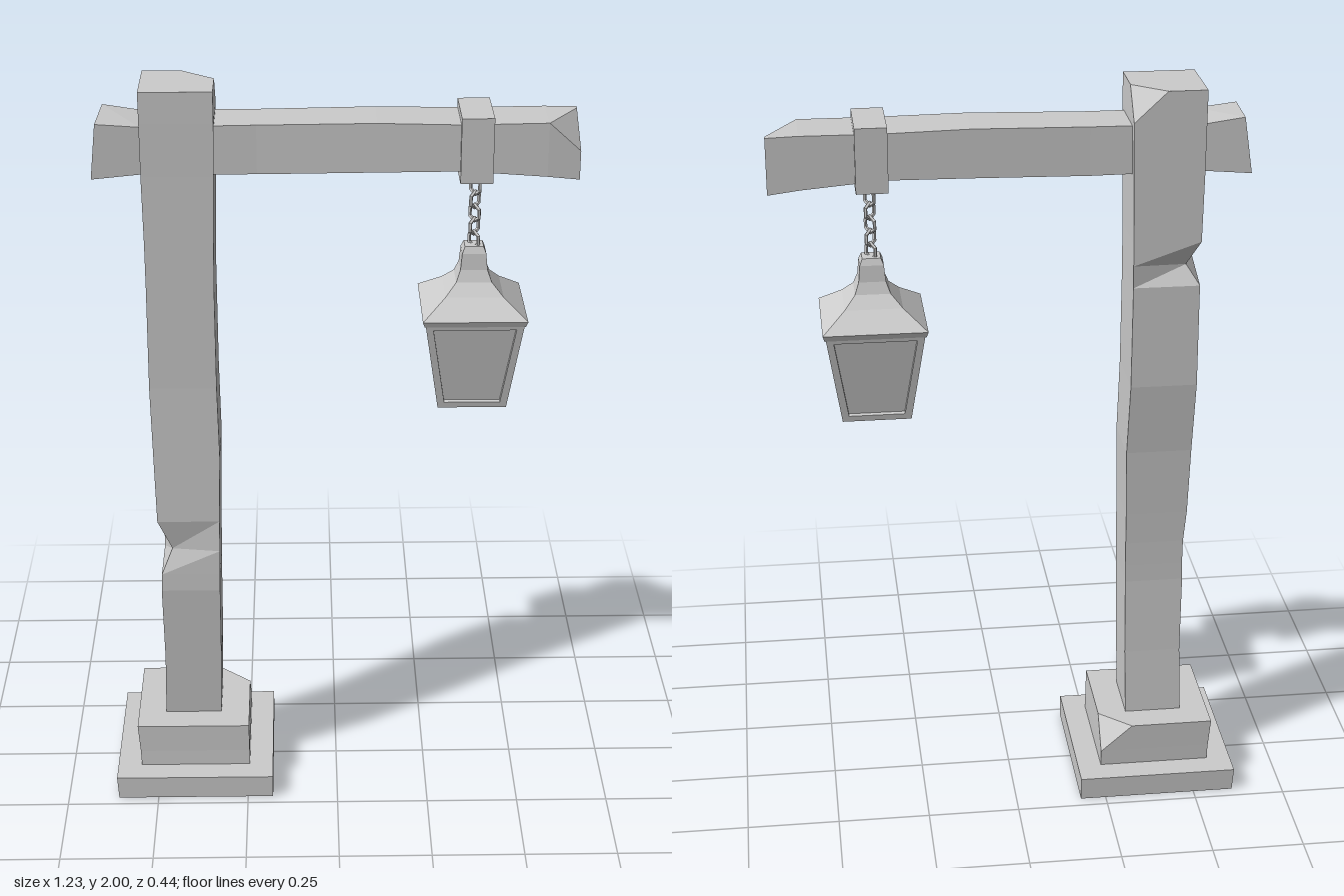
import * as THREE from 'three';

const material = new THREE.MeshStandardMaterial({ color: 0xcccccc, flatShading: true });

function add(parent, name, geometry) {
  const mesh = new THREE.Mesh(geometry, material);
  mesh.name = name;
  parent.add(mesh);
  return mesh;
}

// Closed faceted solid through rings of [x, y, z] points, counterclockwise seen from the last ring
function loft(rings) {
  const out = [];
  const [a, b, c] = [new THREE.Vector3(), new THREE.Vector3(), new THREE.Vector3()];
  const tri = (p, q, r) => {
    a.fromArray(p); b.fromArray(q).sub(a); c.fromArray(r).sub(a);
    if (b.cross(c).length() > 1e-8) out.push(...p, ...q, ...r);
  };
  const n = rings[0].length;
  for (let k = 0; k + 1 < rings.length; k++) {
    const lo = rings[k], hi = rings[k + 1];
    for (let i = 0; i < n; i++) {
      const j = (i + 1) % n;
      tri(lo[i], lo[j], hi[j]);
      tri(lo[i], hi[j], hi[i]);
    }
  }
  const first = rings[0], last = rings[rings.length - 1];
  for (let i = 1; i + 1 < n; i++) {
    tri(last[0], last[i], last[i + 1]);
    tri(first[0], first[i + 1], first[i]);
  }
  const g = new THREE.BufferGeometry();
  g.setAttribute('position', new THREE.Float32BufferAttribute(out, 3));
  g.computeVertexNormals();
  return g;
}

// Level ring whose right back corner is doubled, so it can be split into a chip
function levelRing(y, x0, x1, z0, z1, chipX = 0, chipZ = 0) {
  return [[x0, y, z1], [x1, y, z1], [x1, y, z0 + chipZ], [x1 - chipX, y, z0], [x0, y, z0]];
}

// Upright ring across the beam, with the top front corner doubled
function beamRing(x, y0, y1, z0, z1) {
  return [[x, y0, z1], [x, y0, z0], [x, y1, z0], [x, y1, z1], [x, y1, z1]];
}

const squareRing = (y, h) => [[-h, y, h], [h, y, h], [h, y, -h], [-h, y, -h]];

function box(parent, name, x0, x1, y0, y1, z0, z1) {
  const mesh = add(parent, name, new THREE.BoxGeometry(x1 - x0, y1 - y0, z1 - z0));
  mesh.position.set((x0 + x1) / 2, (y0 + y1) / 2, (z0 + z1) / 2);
}

function createPost() {
  const rings = [
    levelRing(0.17, -0.48, -0.325, -0.08, 0.075),
    levelRing(0.38, -0.475, -0.32, -0.068, 0.09),
    levelRing(0.6, -0.477, -0.318, -0.06, 0.107),
    levelRing(0.65, -0.475, -0.317, -0.06, 0.106),
    levelRing(0.72, -0.475, -0.316, -0.061, 0.104),
    levelRing(0.81, -0.482, -0.315, -0.064, 0.102),
    levelRing(1.0, -0.486, -0.31, -0.072, 0.098),
    levelRing(1.2, -0.49, -0.314, -0.09, 0.093),
    levelRing(1.48, -0.488, -0.314, -0.09, 0.093),
    levelRing(1.54, -0.488, -0.313, -0.09, 0.093),
    levelRing(1.6, -0.488, -0.312, -0.09, 0.093),
    levelRing(1.78, -0.49, -0.308, -0.09, 0.094),
    levelRing(1.92, -0.49, -0.305, -0.09, 0.095),
    levelRing(2.0, -0.49, -0.305, -0.09, 0.095, 0.085, 0.07),
  ];
  // Nicks in the left front and left back edges
  rings[4][0] = [-0.445, 0.72, 0.085];
  rings[9][4] = [-0.455, 1.53, -0.06];
  return loft(rings);
}

function createBeam() {
  const rings = [
    beamRing(-0.6, 1.772, 1.915, -0.068, 0.083),
    beamRing(-0.49, 1.782, 1.905, -0.065, 0.076),
    beamRing(-0.2, 1.779, 1.907, -0.063, 0.07),
    beamRing(0.1, 1.784, 1.912, -0.063, 0.077),
    beamRing(0.32, 1.787, 1.908, -0.065, 0.081),
    beamRing(0.53, 1.77, 1.91, -0.067, 0.076),
    beamRing(0.612, 1.76, 1.908, -0.068, 0.07),
  ];
  // Slanted short end and the broken corner of the long end
  rings[0][0][0] = rings[0][1][0] = -0.615;
  rings[0][2] = [-0.592, 1.92, -0.068];
  rings[6][3] = [0.612, 1.908, -0.055];
  rings[6][4] = [0.612, 1.835, 0.07];
  return loft(rings);
}

function createLantern() {
  const lantern = new THREE.Group();
  lantern.name = 'lantern';
  const yLow = 1.14, yHigh = 1.392, low = 0.09, high = 0.128;

  // Flared roof with a square neck
  add(lantern, 'lanternRoof', loft([
    squareRing(1.385, 0.13), squareRing(1.4, 0.135), squareRing(1.445, 0.075),
    squareRing(1.475, 0.046), squareRing(1.505, 0.035), squareRing(1.548, 0.031),
    squareRing(1.565, 0.024),
  ]));
  add(lantern, 'lanternGlass', loft([squareRing(yLow + 0.003, low - 0.012), squareRing(yHigh, high - 0.012)]));

  // Four leaning frames around the glass
  const lean = Math.atan2(high - low, yHigh - yLow);
  const length = Math.hypot(high - low, yHigh - yLow);
  const shape = new THREE.Shape([[-low, 0], [low, 0], [high, length], [-high, length]]
    .map(([x, y]) => new THREE.Vector2(x, y)));
  shape.holes.push(new THREE.Path([[-0.073, 0.016], [-0.107, length - 0.018], [0.107, length - 0.018], [0.073, 0.016]]
    .map(([x, y]) => new THREE.Vector2(x, y))));
  const frame = new THREE.ExtrudeGeometry(shape, { depth: 0.014, bevelEnabled: false });
  frame.translate(0, 0, -0.014).rotateX(lean).translate(0, yLow, low);
  for (let i = 0; i < 4; i++) add(lantern, 'lanternFrame', frame).rotation.y = i * Math.PI / 2;

  // Chain of alternating links
  const link = new THREE.TorusGeometry(0.018, 0.005, 5, 6);
  link.rotateZ(Math.PI / 6).scale(1, 1.2, 1);
  for (let i = 0; i < 6; i++) {
    const mesh = add(lantern, 'chainLink', link);
    mesh.position.y = 1.757 - i * 0.036;
    mesh.rotation.y = Math.PI / 4 + i * Math.PI / 2;
  }
  lantern.position.set(0.355, 0, 0.003);
  return lantern;
}

export function createModel() {
  const model = new THREE.Group();
  model.name = 'lanternPost';

  // Stepped foot
  add(model, 'baseSlab', loft([
    levelRing(0, -0.61, -0.18, -0.218, 0.22),
    levelRing(0.065, -0.614, -0.18, -0.22, 0.22),
  ]));
  add(model, 'plinth', loft([
    levelRing(0.06, -0.548, -0.245, -0.152, 0.155),
    levelRing(0.11, -0.55, -0.245, -0.153, 0.153),
    levelRing(0.19, -0.556, -0.246, -0.156, 0.152, 0.085, 0.075),
  ]));

  add(model, 'post', createPost());
  add(model, 'beam', createBeam());
  box(model, 'beamBand', 0.31, 0.392, 1.758, 1.928, -0.08, 0.094);
  model.add(createLantern());
  return model;
}
